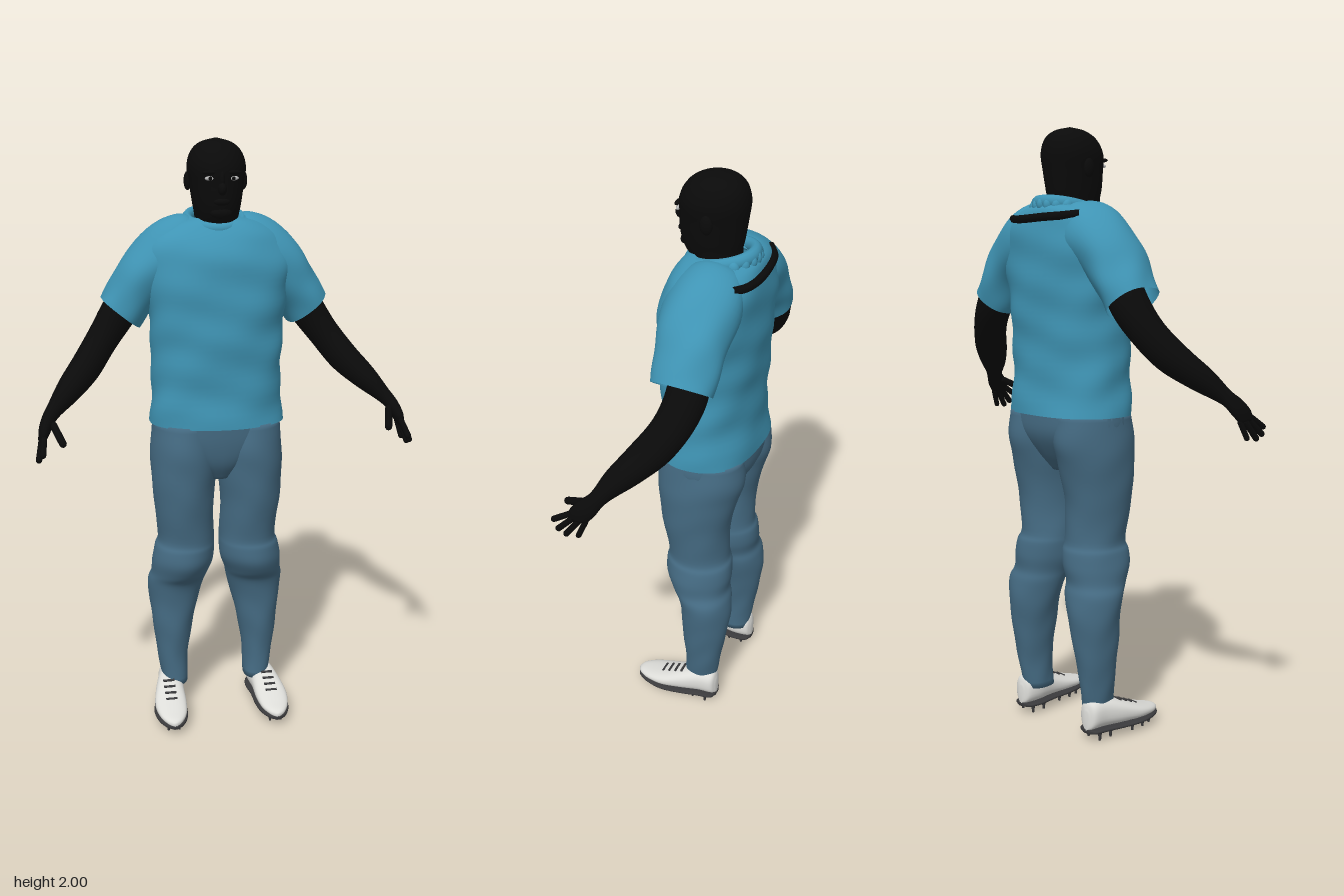
import * as THREE from 'three';

const mat = (name, color, side = THREE.FrontSide) => {
  const m = new THREE.MeshStandardMaterial({ color, side });
  m.name = name;
  return m;
};

// Smooth skin through elliptical sections [x, y, z, radiusU, radiusZ, tilt], listed upwards.
// wrinkle adds soft cloth folds, power squares off the outline.
function loft(secs, { n = 32, steps = 5, power = 1, wrinkle = 0, cap = true } = {}) {
  const mid = new THREE.CatmullRomCurve3(secs.map(s => new THREE.Vector3(s[0], s[1], s[2])), false, 'catmullrom');
  const dim = new THREE.CatmullRomCurve3(secs.map(s => new THREE.Vector3(s[3], s[4], s[5] || 0)), false, 'catmullrom');
  const rows = (secs.length - 1) * steps, pos = [], idx = [];
  const pw = v => Math.sign(v) * Math.abs(v) ** power;
  for (let i = 0; i <= rows; i++) {
    const c = mid.getPoint(i / rows), d = dim.getPoint(i / rows);
    for (let j = 0; j < n; j++) {
      const a = j / n * Math.PI * 2;
      const fold = wrinkle * (Math.sin(c.y * 47 + 2 * Math.sin(a * 2)) + 0.7 * Math.sin(a * 5 + c.y * 23));
      const u = pw(Math.cos(a)) * (d.x + fold), v = pw(Math.sin(a)) * (d.y + fold);
      pos.push(c.x + u * Math.cos(d.z), c.y + u * Math.sin(d.z), c.z + v);
    }
  }
  for (let i = 0; i < rows; i++) for (let j = 0; j < n; j++) {
    const a = i * n + j, b = i * n + (j + 1) % n;
    idx.push(a, a + n, b, b, a + n, b + n);
  }
  if (cap) {
    const lo = pos.length / 3, hi = lo + 1;
    const p = mid.getPoint(0), q = mid.getPoint(1);
    pos.push(p.x, p.y, p.z, q.x, q.y, q.z);
    for (let j = 0; j < n; j++) {
      const k = (j + 1) % n;
      idx.push(lo, j, k, hi, rows * n + k, rows * n + j);
    }
  }
  const g = new THREE.BufferGeometry();
  g.setAttribute('position', new THREE.Float32BufferAttribute(pos, 3));
  g.setIndex(idx);
  g.computeVertexNormals();
  return g;
}

export function createModel() {
  const model = new THREE.Group();
  model.name = 'standingAthlete';
  const skin = mat('blackSkin', 0x0a0a0a);
  const shirt = mat('tealCloth', 0x3f94b4, THREE.DoubleSide);
  const pants = mat('slateCloth', 0x456b83);
  const white = mat('shoeWhite', 0xdededa);
  const sole = mat('soleGrey', 0x3a3a3c);
  const eyeWhite = mat('eyeGrey', 0xb8b8b8);

  const add = (name, geo, material, parent = model) => {
    const m = new THREE.Mesh(geo, material);
    m.name = name;
    parent.add(m);
    return m;
  };
  const ball = (name, material, p, s) => {
    const m = add(name, new THREE.SphereGeometry(1, 20, 14), material);
    m.position.set(...p);
    m.scale.set(...s);
    return m;
  };
  const rod = (name, material, from, to, r) => {
    const a = new THREE.Vector3(...from), b = new THREE.Vector3(...to), d = b.clone().sub(a);
    const m = add(name, new THREE.CapsuleGeometry(r, d.length() - r, 4, 10), material);
    m.position.copy(a).add(b).multiplyScalar(0.5);
    m.quaternion.setFromUnitVectors(new THREE.Vector3(0, 1, 0), d.normalize());
  };

  // Head with neck, nose, brow and lips
  add('head', loft([
    [0, 1.70, -.08, .066, .07], [0, 1.755, -.048, .07, .088], [0, 1.80, -.043, .078, .1],
    [0, 1.86, -.046, .087, .106], [0, 1.915, -.05, .094, .108], [0, 1.96, -.056, .08, .09],
    [0, 1.987, -.06, .05, .055], [0, 2.0, -.06, .004, .004],
  ]), skin);
  ball('nose', skin, [0, 1.85, .06], [.014, .02, .02]);
  ball('noseBridge', skin, [0, 1.875, .056], [.009, .03, .012]);
  ball('lips', skin, [0, 1.81, .055], [.026, .011, .011]);
  ball('chin', skin, [0, 1.775, .04], [.035, .018, .018]);

  // Shirt body
  add('shirtBody', loft([
    [0, 1.08, -.06, .225, .158], [0, 1.2, -.057, .217, .148], [0, 1.32, -.055, .218, .152],
    [0, 1.42, -.057, .222, .156], [0, 1.52, -.06, .24, .156], [0, 1.62, -.065, .25, .152],
    [0, 1.69, -.075, .22, .138], [0, 1.735, -.085, .16, .115], [0, 1.755, -.085, .09, .09],
  ], { n: 64, power: .85, wrinkle: .0025, cap: false }), shirt);

  // Collar, lower at the front, and the gathered flap behind it
  const collar = add('collar', new THREE.TorusGeometry(.09, .017, 12, 40), shirt);
  collar.scale.set(1, 1.12, 1.3);
  collar.rotation.x = Math.PI / 2 + .2;
  collar.position.set(0, 1.742, -.077);
  for (let i = -3; i <= 3; i++) {
    ball('collarFold', shirt, [i * .026, 1.752 - Math.abs(i) * .003, -.178 + i * i * .004], [.017, .024, .022]);
  }

  // Dark opening across the upper back
  add('backOpening', new THREE.TubeGeometry(new THREE.CatmullRomCurve3([
    [-.155, 1.72, -.165], [-.11, 1.715, -.195], [-.04, 1.712, -.211], [.05, 1.708, -.212], [.11, 1.708, -.198], [.15, 1.712, -.173],
  ].map(p => new THREE.Vector3(...p))), 32, .013, 8), skin);

  // Pelvis
  add('pantsSeat', loft([
    [0, .89, -.045, .05, .08], [0, .95, -.05, .13, .12], [0, 1.02, -.06, .212, .145], [0, 1.1, -.06, .216, .15],
  ], { power: .9 }), pants);

  for (const s of [1, -1]) {
    const side = s > 0 ? 'left' : 'right';
    const flip = secs => secs.map(([x, y, z, u, v, t = 0]) => [x * s, y, z, u, v, t * s]);
    const at = (x, y, z) => [x * s, y, z];

    // Face details
    ball(side + 'Ear', skin, at(.091, 1.868, -.062), [.012, .03, .02]);
    ball(side + 'Eye', eyeWhite, at(.037, 1.882, .05), [.017, .007, .006]);
    ball(side + 'Pupil', skin, at(.037, 1.882, .055), [.006, .006, .003]);
    ball(side + 'Brow', skin, at(.037, 1.9, .05), [.025, .007, .009]);

    // Sleeve, open at the cuff
    add(side + 'Sleeve', loft(flip([
      [.313, 1.447, -.09, .081, .097, .67], [.275, 1.51, -.088, .082, .104, .7], [.225, 1.58, -.083, .09, .113, .75],
      [.145, 1.648, -.085, .1, .118, .95], [.09, 1.688, -.088, .082, .1, 1.25], [.05, 1.69, -.088, .06, .08, 1.4],
    ]), { n: 40, wrinkle: .002, cap: false }), shirt);

    // Arm running into the palm
    add(side + 'Arm', loft(flip([
      [.592, 1.085, .125, .012, .03, .4], [.582, 1.115, .112, .019, .042, .5], [.567, 1.145, .09, .022, .038, .65],
      [.545, 1.17, .062, .027, .035, .75], [.495, 1.22, .015, .042, .056, .75], [.435, 1.28, -.04, .051, .067, .75],
      [.375, 1.36, -.09, .053, .064, .7], [.32, 1.44, -.11, .06, .064, .7], [.26, 1.53, -.1, .062, .065, .7],
    ]), { n: 24 }), skin);

    // Thumb and fingers
    [
      ['Thumb', [.555, 1.135, .11], [.527, 1.09, .2], .012],
      ['IndexFinger', [.585, 1.1, .15], [.592, 1.06, .213], .01],
      ['MiddleFinger', [.59, 1.095, .135], [.605, 1.04, .19], .01],
      ['RingFinger', [.591, 1.09, .118], [.605, 1.028, .163], .01],
      ['LittleFinger', [.588, 1.09, .098], [.6, 1.032, .122], .009],
    ].forEach(([n, a, b, r]) => rod(side + n, skin, at(...a), at(...b), r));

    // Trouser leg, gathered around the knee
    add(side + 'TrouserLeg', loft(flip([
      [.148, .095, -.075, .045, .058], [.155, .2, -.085, .054, .065], [.153, .32, -.09, .071, .08],
      [.147, .42, -.094, .088, .088], [.14, .49, -.085, .1, .093], [.13, .53, -.065, .099, .102],
      [.12, .58, -.055, .106, .116], [.113, .63, -.053, .104, .115], [.108, .67, -.05, .097, .106],
      [.116, .8, -.042, .102, .119], [.113, .92, -.05, .113, .138], [.11, 1.0, -.058, .114, .15], [.11, 1.085, -.06, .105, .14],
    ]), { n: 40, wrinkle: .0008 }), pants);

    // Shoe upper and sole, lofted from heel to toe, then laid flat
    const foot = new THREE.Group();
    foot.name = side + 'Shoe';
    foot.position.x = .182 * s;
    model.add(foot);
    // [z, x offset, half width, top height]
    const form = [[-.146, -.018, .012, .10], [-.132, -.018, .036, .133], [-.085, -.018, .046, .138], [-.02, -.006, .051, .118],
      [.05, 0, .056, .09], [.11, 0, .047, .071], [.15, 0, .027, .06], [.165, 0, .006, .05]];
    const lay = (secs, opt) => loft(secs, opt).rotateX(Math.PI / 2);
    add(side + 'ShoeUpper', lay(form.map(([z, x, w, h]) => [x * s, z, -(h + .036) / 2, w, (h - .036) / 2]), { power: .85 }), white, foot);
    add(side + 'ShoeSole', lay(form.map(([z, x, w]) => [x * s, z, -.033, w + .003, .007]), { power: .6 }), sole, foot);
    // Laces across the instep
    for (let i = 0; i < 4; i++) {
      const lace = add('lace', new THREE.BoxGeometry(.04, .006, .007), sole, foot);
      lace.position.set(-.002 * s, .118 - i * .0105, -.016 + i * .025);
      lace.rotation.x = .4;
    }
    // Studs
    for (const z of [-.11, -.06, .03, .08, .12]) for (const x of [-.027, .027]) {
      const stud = add('stud', new THREE.CylinderGeometry(.007, .004, .03, 8), sole, foot);
      stud.position.set(x * (z > .1 ? .7 : 1) - (z < 0 ? .015 * s : 0), .015, z);
    }
  }
  return model;
}
